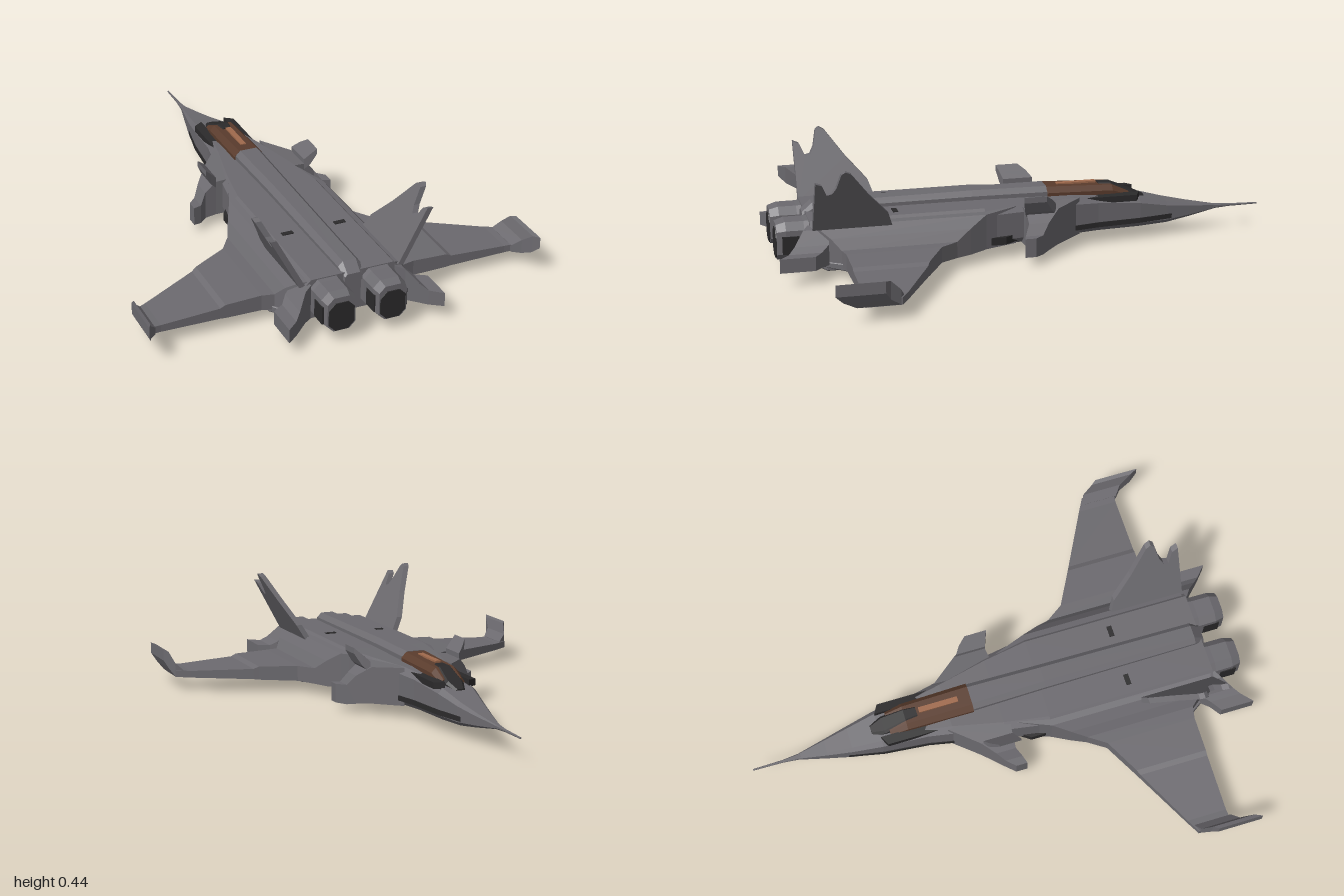
import * as THREE from 'three';

const mat = (name, color) => {
  const m = new THREE.MeshStandardMaterial({ color });
  m.name = name;
  return m;
};

// Faceted skin through a list of rings with equal point counts, with end caps
function loft(rings) {
  const pos = [];
  const tri = (a, b, c) => pos.push(...a, ...b, ...c);
  const n = rings[0].length;
  for (let s = 0; s < rings.length - 1; s++) {
    for (let i = 0; i < n; i++) {
      const j = (i + 1) % n;
      const [a, b, c, d] = [rings[s][i], rings[s][j], rings[s + 1][j], rings[s + 1][i]];
      tri(a, b, c);
      tri(a, c, d);
    }
  }
  const first = rings[0], last = rings[rings.length - 1];
  for (let i = 1; i < n - 1; i++) {
    tri(first[0], first[i + 1], first[i]);
    tri(last[0], last[i], last[i + 1]);
  }
  const g = new THREE.BufferGeometry();
  g.setAttribute('position', new THREE.Float32BufferAttribute(pos, 3));
  g.computeVertexNormals();
  return g;
}

// Fore-and-aft body: sections of [z, half width, bottom, top] with cut corners
function hull(sections, cx = 0, cut = 0.25) {
  return loft(sections.map(([z, w, y0, y1]) => {
    const c = Math.min(w, (y1 - y0) / 2) * 2 * cut;
    return [[w - c, y0], [w, y0 + c], [w, y1 - c], [w - c, y1],
      [c - w, y1], [-w, y1 - c], [-w, y0 + c], [c - w, y0]].map(([x, y]) => [cx + x, y, z]);
  }));
}

// Spanwise slab: stations of [x, front z, rear z, bottom, top]
function slab(stations) {
  return loft(stations.map(([x, z0, z1, y0, y1]) =>
    [[x, y0, z0], [x, y1, z0], [x, y1, z1], [x, y0, z1]]));
}

// Copy reflected in x, with the corner order restored
function mirror(geometry) {
  const g = geometry.index ? geometry.toNonIndexed() : geometry.clone();
  const p = g.attributes.position;
  const v = (i) => [-p.getX(i), p.getY(i), p.getZ(i)];
  for (let i = 0; i < p.count; i += 3) {
    const a = v(i), b = v(i + 1), c = v(i + 2);
    p.setXYZ(i, ...a);
    p.setXYZ(i + 1, ...c);
    p.setXYZ(i + 2, ...b);
  }
  g.computeVertexNormals();
  return g;
}

export function createModel() {
  const model = new THREE.Group();
  model.name = 'jet';
  const grey = mat('airframe grey', 0x6c6a6f);
  const dark = mat('dark grey', 0x2b2a2b);
  const brown = mat('canopy brown', 0x5a3c2d);
  const copper = mat('copper glint', 0xa06a4c);

  const add = (name, geometry, material) => {
    const m = new THREE.Mesh(geometry, material);
    m.name = name;
    model.add(m);
    return m;
  };
  const pair = (name, geometry, material) => {
    add(name + 'Left', geometry, material);
    add(name + 'Right', mirror(geometry), material);
  };
  const box = (x0, x1, y0, y1, z0, z1) =>
    new THREE.BoxGeometry(x1 - x0, y1 - y0, z1 - z0)
      .translate((x0 + x1) / 2, (y0 + y1) / 2, (z0 + z1) / 2);

  // Fuselage and nose probe
  add('fuselage', hull([
    [-0.82, 0.009, 0.084, 0.1], [-0.7, 0.035, 0.065, 0.12], [-0.6, 0.056, 0.052, 0.14],
    [-0.48, 0.078, 0.05, 0.17], [-0.3, 0.095, 0.05, 0.192], [-0.2, 0.115, 0.05, 0.2],
    [0, 0.16, 0.05, 0.203], [0.18, 0.19, 0.05, 0.205], [0.86, 0.19, 0.05, 0.205],
  ], 0, 0.16), grey);
  add('noseProbe', hull([[-1, 0.003, 0.088, 0.094], [-0.88, 0.005, 0.087, 0.097],
    [-0.8, 0.012, 0.083, 0.103]]), grey);
  add('spine', hull([[-0.1, 0.055, 0.16, 0.238], [0.2, 0.05, 0.16, 0.24],
    [0.83, 0.045, 0.16, 0.235], [0.87, 0.035, 0.16, 0.2]], 0, 0.25), grey);

  // Canopy with dark windscreen and glint
  add('canopy', hull([[-0.44, 0.05, 0.14, 0.193], [-0.37, 0.056, 0.15, 0.225],
    [-0.1, 0.06, 0.15, 0.236]], 0, 0.25), brown);
  add('windscreen', hull([[-0.51, 0.02, 0.13, 0.168], [-0.46, 0.037, 0.14, 0.19],
    [-0.37, 0.034, 0.15, 0.229], [-0.32, 0.026, 0.15, 0.231]], 0, 0.2), dark);
  add('canopyGlint', box(-0.011, 0.011, 0.231, 0.238, -0.31, -0.15), copper);
  pair('canopySill', slab([[0.05, -0.48, -0.15, 0.165, 0.193], [0.087, -0.46, -0.15, 0.165, 0.19]]), dark);

  // Painted oval below the nose
  const oval = (rx, rz, y) => new THREE.CircleGeometry(1, 24).scale(rx, rz, 1)
    .rotateX(Math.PI / 2).translate(0, y, -0.3);
  add('bellyOvalRim', oval(0.068, 0.2, 0.0485), dark);
  add('bellyOval', oval(0.045, 0.15, 0.047), brown);

  // Dark strips along the lower nose
  pair('noseStrip', loft([[-0.62, 0.05], [-0.48, 0.079], [-0.3, 0.096], [-0.2, 0.116]].map(([z, w]) =>
    [[w - 0.02, 0.063], [w + 0.002, 0.07], [w + 0.002, 0.09], [w - 0.02, 0.09]].map(([x, y]) => [x, y, z]))), dark);
  pair('intakeStrip', slab([[0.15, 0.04, 0.18, 0.06, 0.09], [0.192, 0.1, 0.18, 0.06, 0.09]]), dark);

  // Wings, blended into the shoulders
  pair('wing', slab([
    [0.15, 0.05, 0.86, 0.05, 0.2], [0.2, 0.18, 0.84, 0.05, 0.19], [0.235, 0.25, 0.79, 0.045, 0.15],
    [0.262, 0.31, 0.755, 0.045, 0.11], [0.31, 0.38, 0.745, 0.048, 0.11], [0.45, 0.455, 0.745, 0.05, 0.105],
    [0.47, 0.465, 0.745, 0.052, 0.095], [0.7, 0.585, 0.745, 0.055, 0.083], [0.755, 0.615, 0.75, 0.057, 0.085],
  ]), grey);
  pair('wingtip', slab([[0.725, 0.605, 0.755, 0.057, 0.085], [0.755, 0.62, 0.78, 0.058, 0.115],
    [0.77, 0.66, 0.83, 0.085, 0.155], [0.785, 0.68, 0.86, 0.115, 0.16]]), grey);

  // Canards and their raised roots
  pair('canard', slab([
    [0.1, -0.22, 0.03, 0.05, 0.2], [0.19, -0.11, 0.02, 0.045, 0.19], [0.235, -0.06, 0.02, 0.038, 0.15],
    [0.262, -0.03, 0.04, 0.032, 0.11], [0.295, 0.005, 0.05, 0.035, 0.11],
  ]), grey);
  pair('canardRoot', slab([[0.19, -0.1, 0.02, 0.165, 0.21], [0.215, -0.08, 0.03, 0.19, 0.235],
    [0.238, -0.05, 0.04, 0.235, 0.258]]), grey);

  // Tailplanes
  pair('tailplane', slab([[0.17, 0.77, 0.87, 0.05, 0.19], [0.2, 0.79, 0.89, 0.05, 0.18],
    [0.24, 0.8, 0.93, 0.05, 0.13], [0.265, 0.83, 0.955, 0.05, 0.11], [0.31, 0.86, 0.995, 0.055, 0.11]]), grey);

  // Canted fins: a notched plate leaned outward
  const finShape = new THREE.Shape([[0.55, 0.18], [0.57, 0.24], [0.65, 0.33], [0.725, 0.43], [0.745, 0.44],
    [0.76, 0.43], [0.775, 0.37], [0.79, 0.345], [0.81, 0.34], [0.83, 0.385], [0.855, 0.395],
    [0.855, 0.18]].map(([z, y]) => new THREE.Vector2(z, y)));
  const fin = new THREE.ExtrudeGeometry(finShape, { depth: 0.024, bevelEnabled: false }).toNonIndexed
    ? new THREE.ExtrudeGeometry(finShape, { depth: 0.024, bevelEnabled: false }) : null;
  const fp = fin.attributes.position;
  for (let i = 0; i < fp.count; i++) {
    const z = fp.getX(i), y = fp.getY(i);
    fp.setXYZ(i, -(0.19 + (y - 0.19) * 0.53 + fp.getZ(i)), y, z);
  }
  fin.computeVertexNormals();
  add('finRight', fin, grey);
  add('finLeft', mirror(fin), grey);

  // Engine nozzles with dark outlets
  pair('nozzle', hull([[0.8, 0.075, 0.05, 0.205], [0.88, 0.065, 0.05, 0.2],
    [0.95, 0.064, 0.05, 0.2], [0.985, 0.055, 0.053, 0.19]], 0.102, 0.22), grey);
  pair('nozzleOutlet', hull([[0.98, 0.052, 0.056, 0.17], [0.988, 0.05, 0.056, 0.168]], 0.102, 0.25), dark);
  pair('nozzleSidePatch', box(0.037, 0.17, 0.08, 0.15, 0.9, 0.965), dark);

  // Small dark vents on the back
  pair('backVent', box(0.085, 0.13, 0.2, 0.208, 0.512, 0.532), dark);

  // Stepped belly
  add('bellyUpperStep', hull([[0.36, 0.22, 0.045, 0.06], [0.42, 0.28, 0.032, 0.06],
    [0.74, 0.28, 0.032, 0.06], [0.86, 0.2, 0.045, 0.06]], 0, 0.1), grey);
  add('bellyLowerStep', hull([[0.46, 0.19, 0.025, 0.05], [0.5, 0.2, 0.012, 0.05],
    [0.8, 0.2, 0.012, 0.05], [0.84, 0.18, 0.03, 0.05]], 0, 0.1), grey);
  for (const x of [-0.08, 0.08]) add('bellyRail', box(x - 0.03, x + 0.03, 0.006, 0.02, 0.52, 0.78), grey);
  add('bellyBar', box(-0.23, 0.23, 0, 0.014, 0.612, 0.624), grey);

  return model;
}
